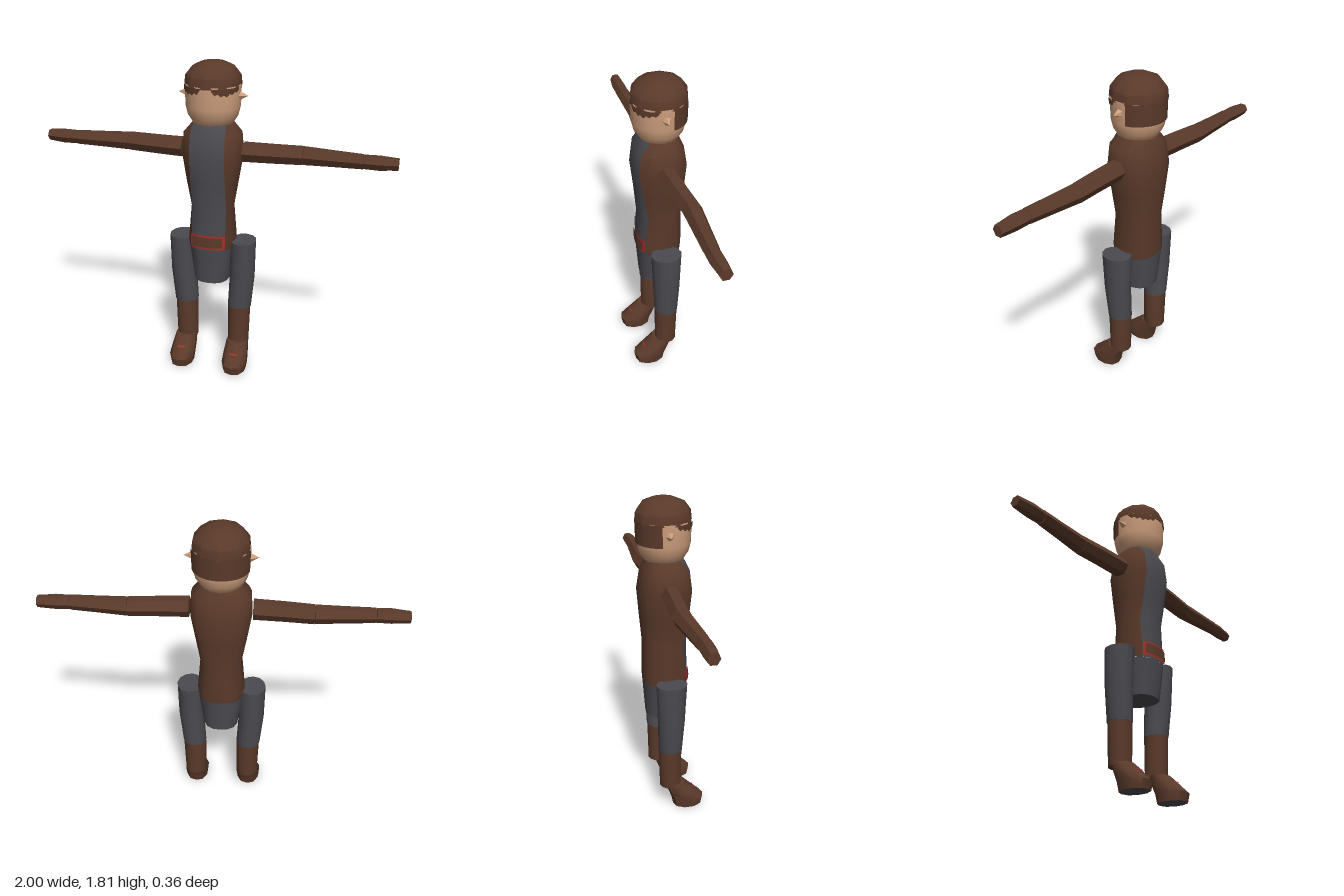
import * as THREE from 'three';
import { toCreasedNormals } from 'three/addons/utils/BufferGeometryUtils.js';

const mat = (name, color) => Object.assign(new THREE.MeshStandardMaterial({ color }), { name });

// Skins rows of points [x, y, z]; side -1 mirrors the surface in x
function grid(rows, side = 1, crease = 0.75) {
  const pos = [];
  const tri = (a, b, c) => {
    const [p, q, r] = (side > 0 ? [a, b, c] : [a, c, b]).map(v => new THREE.Vector3(v[0] * side, v[1], v[2]));
    if (new THREE.Triangle(p, q, r).getArea() > 1e-9) for (const v of [p, q, r]) pos.push(v.x, v.y, v.z);
  };
  for (let i = 0; i < rows.length - 1; i++)
    for (let j = 0; j < rows[i].length - 1; j++) {
      const a = rows[i][j], b = rows[i][j + 1], c = rows[i + 1][j + 1], d = rows[i + 1][j];
      tri(a, b, c);
      tri(a, c, d);
    }
  const geo = new THREE.BufferGeometry();
  geo.setAttribute('position', new THREE.Float32BufferAttribute(pos, 3));
  return toCreasedNormals(geo, crease);
}

// Profile rows are [y, rx, rz, cx, cz], rising in y
function sample(profile, y) {
  let i = 0;
  while (i < profile.length - 2 && y > profile[i + 1][0]) i++;
  const a = profile[i], b = profile[i + 1];
  const t = THREE.MathUtils.clamp((y - a[0]) / (b[0] - a[0]), 0, 1);
  return a.map((v, k) => v + (b[k] - v) * t);
}

// Point on a rounded cross-section; angle 0 faces the front, n sets squareness
function point(profile, y, angle, n, off = 0) {
  const [, rx, rz, cx, cz] = sample(profile, y);
  const s = Math.sin(angle), c = Math.cos(angle);
  const r = 1 / Math.pow(Math.abs(s) ** n + Math.abs(c) ** n, 1 / n);
  return [cx + s * r * (rx + off), y, cz + c * r * (rz + off)];
}

const steps = (a, b, count) => Array.from({ length: count + 1 }, (_, i) => a + (b - a) * i / count);
const collapse = row => {
  const m = row.slice(1).reduce((s, p) => s.map((v, k) => v + p[k] / (row.length - 1)), [0, 0, 0]);
  return row.map(() => m);
};
const capped = rows => [collapse(rows[0]), ...rows, collapse(rows[rows.length - 1])];

// Closed solid through all rows of a profile
function solid(profile, sides, n = 2, side = 1) {
  const angles = steps(0, Math.PI * 2, sides);
  return grid(capped(profile.map(p => angles.map(a => point(profile, p[0], a, n)))), side);
}

// Thin patch lying on a profile
function patch(profile, ys, a0, a1, cols, n, off, side = 1) {
  return grid(ys.map(y => steps(a0, a1, cols).map((a, j) => point(profile, typeof y === 'function' ? y(j) : y, a, n, off))), side);
}

export function createModel() {
  const model = new THREE.Group();
  const brown = mat('brown', 0x5a3a2a), grey = mat('slate grey', 0x4a4a50);
  const skin = mat('skin', 0xd0a07e), red = mat('red', 0xa0302a);
  const add = (name, geo, material) => {
    const mesh = new THREE.Mesh(geo, material);
    mesh.name = name;
    model.add(mesh);
    return mesh;
  };

  // Torso: pelvis, coat and front panel share one profile
  const N = 2.6;
  const torso = [
    [0.55, 0.10, 0.11, 0, -0.015], [0.76, 0.128, 0.125, 0, -0.015], [0.8, 0.134, 0.126, 0, -0.016],
    [1.0, 0.117, 0.122, 0, -0.018], [1.15, 0.143, 0.135, 0, -0.018], [1.3, 0.168, 0.148, 0, -0.016],
    [1.42, 0.16, 0.13, 0, -0.014], [1.48, 0.11, 0.1, 0, -0.014],
  ];
  const panelEdge = y => {
    const q = Math.min(0.098 / sample(torso, y)[1], 0.84);
    return Math.atan(q / Math.pow(1 - q ** N, 1 / N));
  };
  const upper = torso.slice(1).map(p => p[0]);
  const band = (from, to, cols) => {
    const rows = upper.map(y => steps(from(y), to(y), cols).map(a => point(torso, y, a, N)));
    rows.push(rows[rows.length - 1].map(() => [0, 1.48, -0.014]));
    return grid(rows);
  };
  add('pelvis', solid(torso.slice(0, 2), 16, N), grey);
  add('coat', band(panelEdge, y => Math.PI * 2 - panelEdge(y), 14), brown);
  add('frontPanel', band(y => -panelEdge(y), panelEdge, 6), grey);

  // Belt buckle wrapped on the front
  const buckle = panelEdge(0.8);
  add('beltFrame', patch(torso, [0.77, 0.8, 0.853], -buckle, buckle, 8, N, 0.005), red);
  add('beltPlate', patch(torso, [0.782, 0.8, 0.841], -buckle * 0.83, buckle * 0.83, 8, N, 0.008), brown);

  // Head with cap of hair
  const head = [
    [1.445, 0.075, 0.07, 0, -0.018], [1.475, 0.108, 0.105, 0, -0.018], [1.52, 0.138, 0.134, 0, -0.018],
    [1.57, 0.15, 0.146, 0, -0.018], [1.69, 0.153, 0.149, 0, -0.018],
  ];
  add('head', solid(head, 20), skin);
  add('hairCap', solid([
    [1.68, 0.156, 0.157, 0, -0.02], [1.735, 0.15, 0.151, 0, -0.02], [1.783, 0.112, 0.116, 0, -0.02],
    [1.805, 0.06, 0.062, 0, -0.02], [1.81, 0.03, 0.03, 0, -0.02],
  ], 10), brown);
  add('backHair', patch(head, [1.57, 1.69], 1.83, Math.PI * 2 - 1.83, 14, 2, 0.005), brown);

  for (const side of [1, -1]) {
    const label = side > 0 ? 'left' : 'right';

    // Jagged fringe over the brow
    const jag = [1.675, 1.652, 1.66, 1.645, 1.653, 1.642, 1.658, 1.65, 1.664, 1.658, 1.672];
    add(label + 'Fringe', patch(head, [j => jag[j], 1.685], 0.2, 1.3, 10, 2, 0.004, side), brown);

    // Pointed ear
    const ear = new THREE.ConeGeometry(0.032, 0.06, 5);
    ear.rotateZ(-Math.PI / 2).scale(1, 1, 0.9);
    ear.translate(0.165, 1.632, -0.018);
    if (side < 0) ear.rotateY(Math.PI).translate(0, 0, -0.036);
    add(label + 'Ear', toCreasedNormals(ear, 0.3), skin);

    // Arm stations are [x, radius, centre z]; the sections are hexagons
    const arm = {
      UpperArm: [[0.172, 0.057, -0.018], [0.34, 0.055, -0.028], [0.499, 0.053, -0.042]],
      Forearm: [[0.501, 0.052, -0.042], [0.66, 0.046, -0.034], [0.819, 0.041, -0.026]],
      Hand: [[0.821, 0.039, -0.026], [0.9, 0.041, -0.026], [0.96, 0.036, -0.029], [1.0, 0.033, -0.03]],
    };
    for (const [name, stations] of Object.entries(arm)) {
      const rows = stations.map(([x, r, cz]) => steps(Math.PI / 2, Math.PI * 2.5, 6)
        .map(a => [x, 1.322 + Math.cos(a) * r, cz + Math.sin(a) * r]));
      add(label + name, grid(capped(rows), side, 0.3), brown);
    }

    // Leg: trouser and boot shaft
    add(label + 'Trouser', solid([
      [0.38, 0.07, 0.069, 0.162, -0.018], [0.58, 0.074, 0.079, 0.177, -0.015], [0.8, 0.075, 0.088, 0.18, -0.013],
    ], 12, 2, side), grey);
    add(label + 'BootShaft', solid([
      [0.14, 0.063, 0.063, 0.158, -0.016], [0.39, 0.068, 0.067, 0.161, -0.018],
    ], 12, 2, side), brown);

    // Slanted foot with a sole and a small red strap
    const foot = [
      [0, 0.066, 0.085, 0.163, 0.085], [0.05, 0.073, 0.095, 0.163, 0.085],
      [0.1, 0.07, 0.077, 0.161, 0.047], [0.155, 0.063, 0.059, 0.159, 0.006],
    ];
    add(label + 'Foot', solid(foot, 10, 2.3, side), brown);
    const rim = steps(0, Math.PI * 2, 10).map(a => { const p = point(foot, 0, a, 2.3); return [p[0], 0.0005, p[2]]; });
    add(label + 'Sole', grid([collapse(rim).map(p => [p[0], -0.001, p[2]]), rim.map(p => [p[0], -0.001, p[2]])], side), grey);
    add(label + 'Strap', patch(foot, [0.105, 0.113], -0.3, 0.3, 4, 2.3, 0.005, side), red);
  }
  return model;
}
